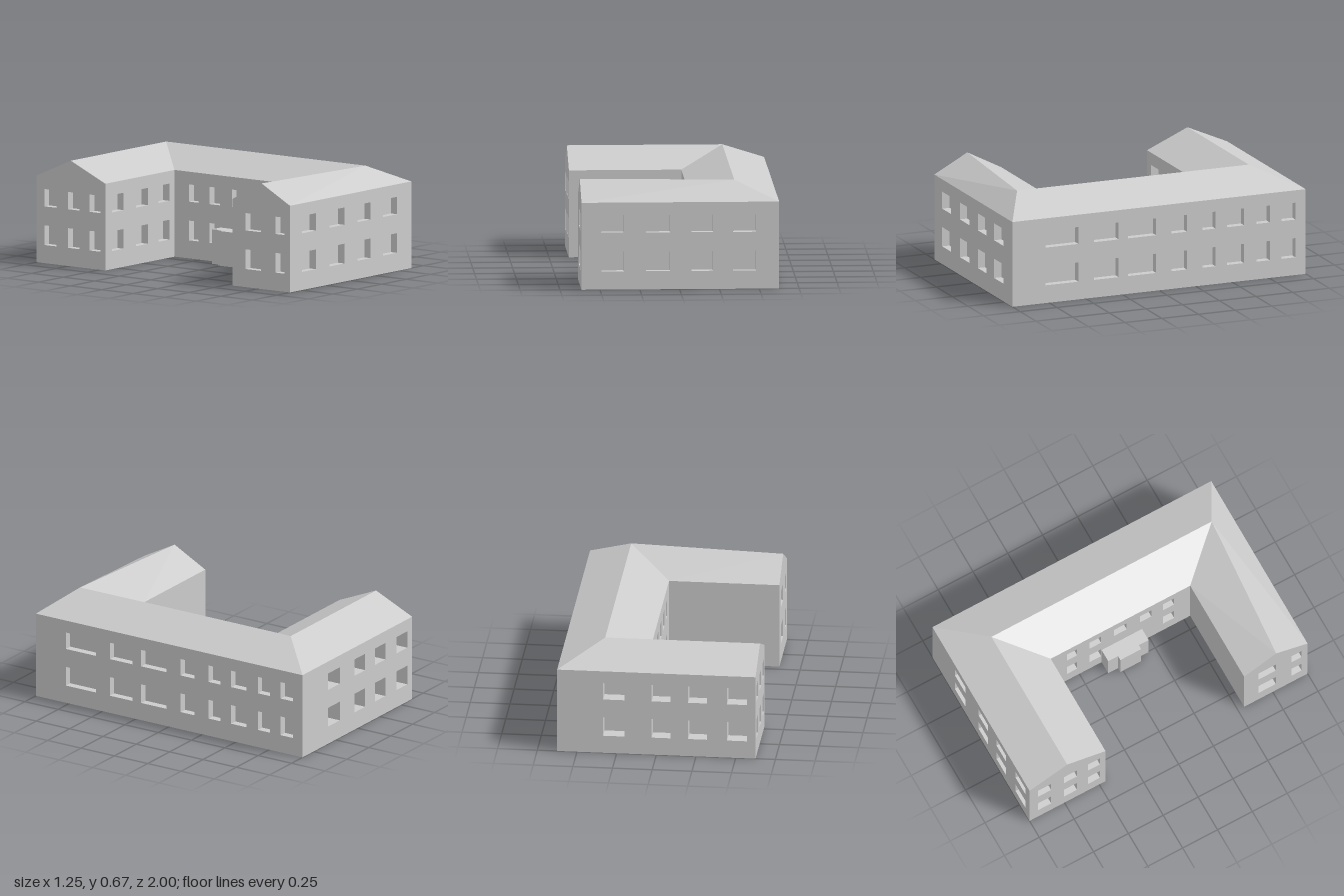
import * as THREE from 'three';
import { mergeGeometries } from 'three/addons/utils/BufferGeometryUtils.js';

const EAVE = 0.55, RIDGE = 0.67;
const ROWS = [[0.115, 0.24], [0.36, 0.47]];

// Footprint corners [x, z], anticlockwise seen from above
const FRONT_TIP = [-0.615, 1], FRONT_CORNER = [0.625, 1], BACK_CORNER = [0.625, -1], BACK_TIP = [-0.625, -1];
const BACK_INNER_TIP = [-0.625, -0.455], BACK_INNER = [0.08, -0.455];
const FRONT_INNER = [0.08, 0.545], FRONT_INNER_TIP = [-0.615, 0.545];

const material = new THREE.MeshStandardMaterial({ color: 0xcccccc, flatShading: true });

// Open box facing inwards, its mouth on z = 0
function recess(u0, u1, y0, y1, depth) {
  const g = new THREE.BoxGeometry(u1 - u0, y1 - y0, depth);
  const idx = Array.from(g.index.array);
  idx.splice(24, 6); // no face over the mouth
  g.setIndex(idx.reverse());
  g.computeVertexNormals();
  g.translate((u0 + u1) / 2, (y0 + y1) / 2, -depth / 2);
  return g;
}

// Upright wall from a to b with window recesses; peak is the ridge coordinate of a gable.
// Each column is [from, to, lowest row] along the wall's own world axis.
function wall(name, a, b, columns = [], { depth = 0.05, peak = null } = {}) {
  const axis = Math.abs(b[0] - a[0]) > Math.abs(b[1] - a[1]) ? 0 : 1;
  const along = c => Math.abs(c - a[axis]);
  const length = along(b[axis]);
  const shape = new THREE.Shape();
  shape.moveTo(0, 0).lineTo(length, 0).lineTo(length, EAVE);
  if (peak !== null) shape.lineTo(along(peak), RIDGE);
  shape.lineTo(0, EAVE).closePath();

  const recesses = [];
  for (const [c0, c1, firstRow = 0] of columns) {
    const u0 = Math.min(along(c0), along(c1)), u1 = Math.max(along(c0), along(c1));
    for (const [y0, y1] of ROWS.slice(firstRow)) {
      const hole = new THREE.Path();
      hole.moveTo(u0, y0).lineTo(u0, y1).lineTo(u1, y1).lineTo(u1, y0).closePath();
      shape.holes.push(hole);
      recesses.push(recess(u0, u1, y0, y1, depth));
    }
  }
  const g = mergeGeometries([new THREE.ShapeGeometry(shape), ...recesses]);
  const dir = new THREE.Vector3(b[0] - a[0], 0, b[1] - a[1]).normalize();
  const up = new THREE.Vector3(0, 1, 0);
  const m = new THREE.Matrix4().makeBasis(dir, up, dir.clone().cross(up));
  g.applyMatrix4(m.setPosition(a[0], 0, a[1]));
  return named(name, g);
}

function named(name, geometry) {
  const mesh = new THREE.Mesh(geometry, material);
  mesh.name = name;
  return mesh;
}

// Roof slope: eave from a to b, ridge from c back to d
function slope(name, a, b, c, d) {
  const at = (p, y) => [p[0], y, p[1]];
  const [A, B, C, D] = [at(a, EAVE), at(b, EAVE), at(c, RIDGE), at(d, RIDGE)];
  const g = new THREE.BufferGeometry();
  g.setAttribute('position', new THREE.Float32BufferAttribute([A, B, C, A, C, D].flat(), 3));
  g.computeVertexNormals();
  return named(name, g);
}

// Flat outline in [x, z] turned to a shape lying in the ground plane
const outline = pts => new THREE.Shape(pts.map(([x, z]) => new THREE.Vector2(x, -z)));

export function createModel() {
  const model = new THREE.Group();
  model.name = 'courtyardBuilding';

  // Outer walls
  model.add(
    wall('frontWall', FRONT_TIP, FRONT_CORNER,
      [[-0.49, -0.35], [-0.21, -0.06], [0.075, 0.21], [0.335, 0.48]]),
    wall('longWall', FRONT_CORNER, BACK_CORNER,
      [[0.775, 0.55], [0.445, 0.275], [0.21, 0.02], [-0.085, -0.19],
        [-0.295, -0.385], [-0.465, -0.58], [-0.665, -0.755], [-0.835, -0.93]]),
    wall('backWall', BACK_CORNER, BACK_TIP,
      [[0.335, 0.2], [0.03, -0.09], [-0.2, -0.32], [-0.445, -0.57]], { depth: 0.09 }),
  );

  // Gable ends of the two wings
  model.add(
    wall('backGable', BACK_TIP, BACK_INNER_TIP,
      [[-0.94, -0.845], [-0.753, -0.66], [-0.58, -0.495]], { peak: -0.73 }),
    wall('frontGable', FRONT_INNER_TIP, FRONT_TIP,
      [[0.648, 0.772], [0.885, 0.957]], { peak: 0.775 }),
  );

  // Courtyard walls; the porch takes the place of the lower middle windows
  model.add(
    wall('backWingInnerWall', BACK_INNER_TIP, BACK_INNER,
      [[-0.56, -0.44], [-0.315, -0.19], [-0.083, 0.03]]),
    wall('courtWall', BACK_INNER, FRONT_INNER,
      [[-0.34, -0.265], [-0.177, -0.094], [0, 0.09, 1], [0.184, 0.267, 1], [0.35, 0.43]]),
    wall('frontWingInnerWall', FRONT_INNER, FRONT_INNER_TIP),
  );

  // Roof: ridge runs along the back wing, the long side and the front wing
  const r0 = [-0.625, -0.73], r1 = [0.35, -0.73], r2 = [0.35, 0.85], r3 = [-0.615, 0.775];
  model.add(
    slope('frontRoofOuter', FRONT_TIP, FRONT_CORNER, r2, r3),
    slope('longRoofOuter', FRONT_CORNER, BACK_CORNER, r1, r2),
    slope('backRoofOuter', BACK_CORNER, BACK_TIP, r0, r1),
    slope('backRoofInner', BACK_INNER_TIP, BACK_INNER, r1, r0),
    slope('longRoofInner', BACK_INNER, FRONT_INNER, r2, r1),
    slope('frontRoofInner', FRONT_INNER, FRONT_INNER_TIP, r3, r2),
  );

  // Underside
  const base = new THREE.ShapeGeometry(outline([FRONT_TIP, FRONT_CORNER, BACK_CORNER, BACK_TIP,
    BACK_INNER_TIP, BACK_INNER, FRONT_INNER, FRONT_INNER_TIP]));
  base.rotateX(-Math.PI / 2);
  base.setIndex(Array.from(base.index.array).reverse());
  base.computeVertexNormals();
  model.add(named('base', base));

  // Entrance porch with a narrower front part
  const porch = new THREE.ExtrudeGeometry(outline([[0.08, 0.2], [0.08, -0.09], [-0.005, -0.09], [-0.005, -0.02],
    [-0.035, -0.02], [-0.035, 0.13], [-0.005, 0.13], [-0.005, 0.2]]), { depth: 0.22, bevelEnabled: false });
  porch.rotateX(-Math.PI / 2);
  model.add(named('porch', porch));

  return model;
}
